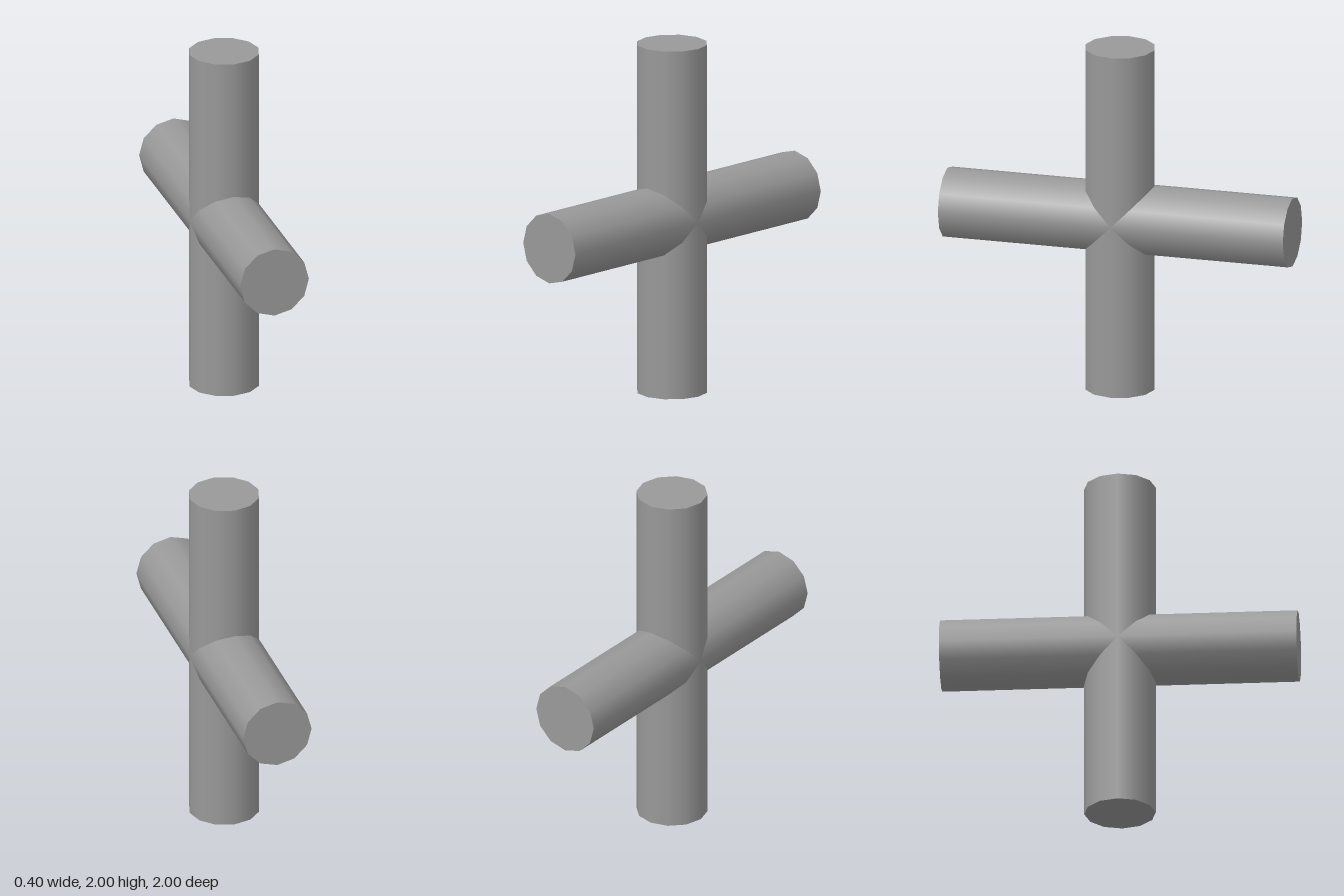
import * as THREE from 'three';

const RADIUS = 0.2;
const LENGTH = 2;
const SIDES = 12;

export function createModel() {
  const group = new THREE.Group();
  group.name = 'crossedBars';

  const grey = new THREE.MeshStandardMaterial({ color: 0x999999 });
  grey.name = 'grey';

  // Both bars share one smooth twelve-sided cylinder
  const barGeometry = new THREE.CylinderGeometry(RADIUS, RADIUS, LENGTH, SIDES);

  function addBar(name, tilt) {
    const bar = new THREE.Mesh(barGeometry, grey);
    bar.name = name;
    bar.position.y = LENGTH / 2;
    bar.rotation.x = tilt;
    group.add(bar);
  }

  // Upright post and the crossbar running front to back
  addBar('uprightBar', 0);
  addBar('crossBar', Math.PI / 2);

  return group;
}
